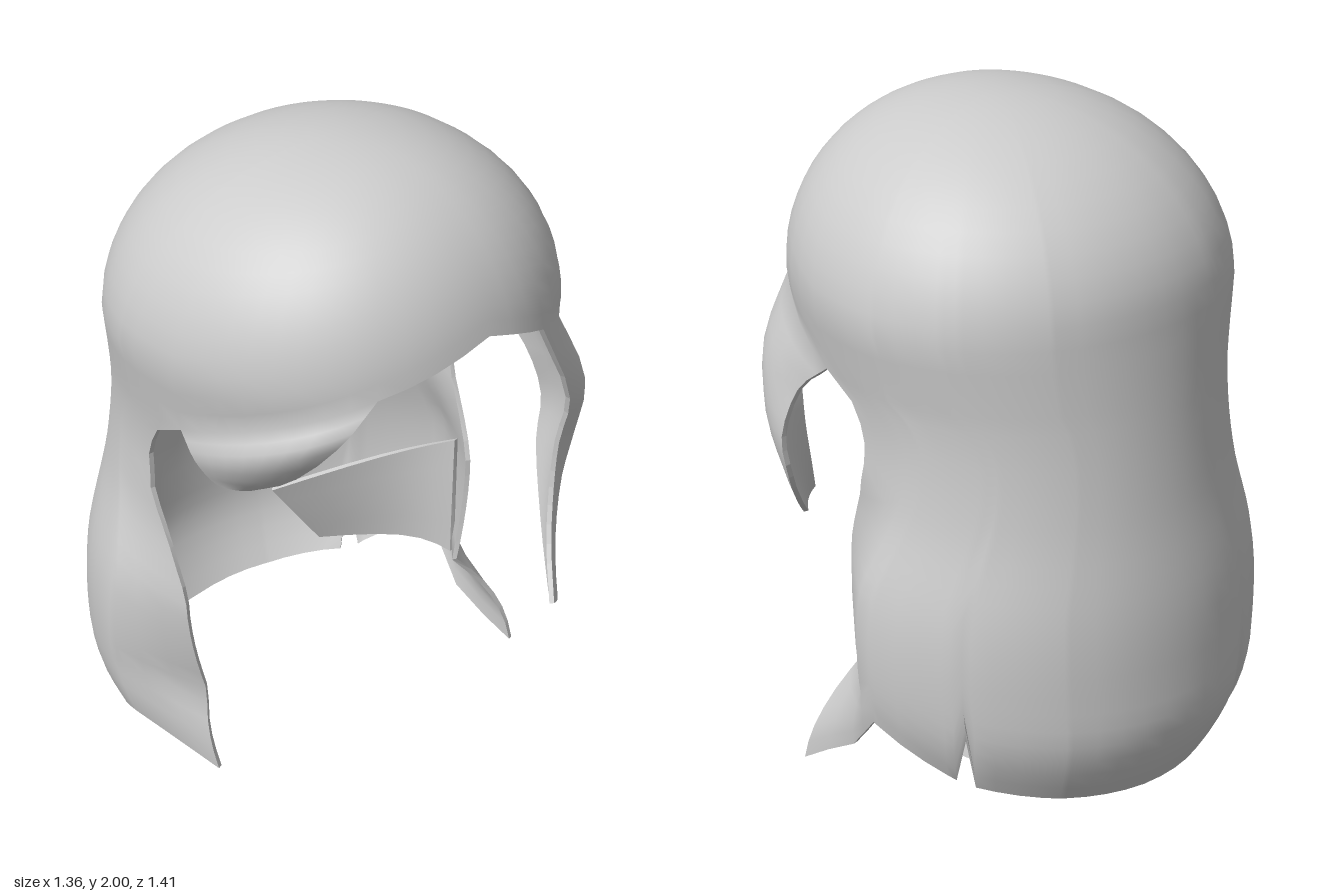
import * as THREE from 'three';

const V = (x, y, z) => new THREE.Vector3(x, y, z);
const lerp = THREE.MathUtils.lerp;

// Piecewise linear lookup in rows [key, value] sorted by rising key
function look(rows, k) {
  if (k <= rows[0][0]) return rows[0][1];
  for (let i = 1; i < rows.length; i++) {
    const a = rows[i - 1], b = rows[i];
    if (k <= b[0]) return lerp(a[1], b[1], (k - a[0]) / (b[0] - a[0]));
  }
  return rows[rows.length - 1][1];
}

// Height, half width, front reach, back reach of the hair below the dome
const DOME = 1.48, RISE = 0.52;
const BODY = [
  [0, 0.53, 0.64, 0.57], [0.12, 0.6, 0.64, 0.64], [0.28, 0.67, 0.64, 0.7], [0.45, 0.695, 0.64, 0.7],
  [0.66, 0.685, 0.64, 0.685], [0.95, 0.61, 0.64, 0.635], [1.2, 0.59, 0.66, 0.6], [DOME, 0.63, 0.7, 0.57],
];
const body = new THREE.CubicInterpolant(BODY.map((r) => r[0]), BODY.flatMap((r) => r.slice(1)), 3);

// Point on the hair volume: angle in degrees from the front towards +x, and height
function skin(deg, y) {
  let w, front, back, c = 0;
  if (y > DOME) {
    const s = Math.min(1, (y - DOME) / RISE), r = Math.sqrt(1 - s * s);
    w = 0.63 * Math.pow(r, 0.95);
    c = 0.1 * s;
    front = 0.1 + 0.6 * Math.pow(r, 0.78);
    back = 0.67 * r - 0.1;
  } else [w, front, back] = body.evaluate(y);
  const t = THREE.MathUtils.degToRad(deg), sn = Math.sin(t), cs = Math.cos(t);
  const pw = (v) => Math.sign(v) * Math.pow(Math.abs(v), cs > 0 ? 0.92 : 0.98);
  return V(w * pw(sn), y, c + pw(cs) * (cs > 0 ? front - c : back + c));
}

// Lower border of the cap, by angle
const NOTCH = 82, SPAN = 360 - 2 * NOTCH, LEFT = 20, RIGHT = -30;
const CAP_HEM = [[-NOTCH, 1.29], [RIGHT, 1.51], [0, 1.61], [LEFT, 1.53], [NOTCH, 1.29], [360 - NOTCH, 1.29]];

// Border of the back curtain: front edge angle by height, and hem height by angle
const EDGE = [[0, 75], [0.35, 82], [0.72, 82], [1.02, 94], [1.14, 95], [1.23, 91], [1.29, NOTCH]];
const TUCK_LEFT = [[0, 1.31], [0.35, 0.72], [0.72, 0.8], [1.0, 0.97], [1.29, 1]];
const TUCK_RIGHT = [[0.08, 0.94], [0.35, 0.77], [0.7, 0.88], [1.0, 0.98], [1.29, 1]];
const HEM = [
  [82, 0], [95, 0.13], [105, 0.3], [127, 0.15], [130, 0.33], [132, 0.13], [154, 0.09], [180, 0.06],
  [208, 0.05], [211, 0.25], [216, 0.06], [236, 0.1], [258, 0.22], [278, 0.1],
];

function curtainPoint(u, v) {
  const y = lerp(1.29, look(HEM, NOTCH + SPAN * u), v), e = look(EDGE, y);
  const p = skin(lerp(e, 360 - e, u), y);
  const near = Math.max(0, 1 - Math.min(u, 1 - u) / 0.1);
  p.x *= lerp(1, look(u < 0.5 ? TUCK_LEFT : TUCK_RIGHT, y), near);
  return p;
}

function capPoint(deg, v) {
  const h = look(CAP_HEM, deg), k = (h - DOME) / RISE;
  const a = lerp(Math.PI / 2, k > 0 ? Math.asin(k) : k, v);
  return skin(deg, DOME + RISE * (a > 0 ? Math.sin(a) : a));
}

// Lock hanging from the cap between two angles, bounded by two edge curves
function lockPoint(d0, d1, path0, path1) {
  const top = (u) => capPoint(lerp(d0, d1, u), 1);
  const c0 = new THREE.CatmullRomCurve3([top(0), ...path0]);
  const c1 = new THREE.CatmullRomCurve3([top(1), ...path1]);
  return (u, v) => {
    const fade = 0.12 + 0.44 * (1 + Math.cos(Math.PI * v));
    const bulge = top(u).sub(top(0).lerp(top(1), u)).multiplyScalar(fade);
    return c0.getPoint(v).lerp(c1.getPoint(v), u).add(bulge);
  };
}

// Inner layer behind the left edge of the curtain, overlapping the slit
function underlayerPoint(u, v) {
  const upper = V(0.54, 0.75, 0.04).lerp(V(0.24, 0.43, -0.5), u);
  const lower = V(0.54, 0.33, 0.04).lerp(V(0.41, 0.19, -0.46), u);
  const p = upper.lerp(lower, v);
  p.x += 0.08 * Math.sin(Math.PI * u);
  return p;
}

const steps = (a, b, n) => Array.from({ length: n + 1 }, (_, i) => lerp(a, b, i / n));

export function createModel() {
  const group = new THREE.Group();
  const mat = new THREE.MeshStandardMaterial({ color: 0xcccccc, side: THREE.DoubleSide });
  const pos = [], seen = new Map(), parts = {};

  // Vertices are shared between parts so the shading runs on across the joins
  const vertex = (p) => {
    const key = p.toArray().map((n) => Math.round(n * 1e4)).join();
    if (!seen.has(key)) {
      seen.set(key, pos.length / 3);
      pos.push(p.x, p.y, p.z);
    }
    return seen.get(key);
  };
  const sheet = (name, us, rows, f) => {
    const idx = (parts[name] = []);
    const g = us.map((u) => steps(0, 1, rows).map((v) => vertex(f(u, v))));
    const tri = (a, b, c) => { if (a !== b && b !== c && c !== a) idx.push(a, b, c); };
    for (let i = 0; i + 1 < us.length; i++) for (let r = 0; r < rows; r++) {
      tri(g[i][r], g[i][r + 1], g[i + 1][r + 1]);
      tri(g[i][r], g[i + 1][r + 1], g[i + 1][r]);
    }
  };

  const lockU = steps(0, 1, 8);
  const slitU = HEM.slice(1, -1).map((h) => (h[0] - NOTCH) / SPAN);
  const backU = [...steps(0, 1, 32).filter((u) => slitU.every((s) => Math.abs(s - u) > 0.006)), ...slitU]
    .sort((a, b) => a - b);
  const capAngles = [
    ...lockU.map((u) => lerp(-NOTCH, RIGHT, u)), ...steps(RIGHT, 0, 4).slice(1), ...steps(0, LEFT, 3).slice(1),
    ...lockU.slice(1).map((u) => lerp(LEFT, NOTCH, u)), ...backU.slice(1).map((u) => NOTCH + SPAN * u),
  ];

  sheet('hairCap', capAngles, 16, capPoint);
  sheet('backCurtain', backU, 22, curtainPoint);
  sheet('leftFrontLock', lockU, 15, lockPoint(LEFT, NOTCH,
    [V(0.38, 1.24, 0.64), V(0.4, 1.06, 0.59), V(0.4, 0.9, 0.58), V(0.36, 0.74, 0.62), V(0.3, 0.6, 0.7)],
    [V(0.6, 1.17, 0.26), V(0.63, 1.01, 0.31), V(0.6, 0.86, 0.33), V(0.49, 0.69, 0.47), V(0.38, 0.56, 0.62)]));
  sheet('rightFrontLock', lockU, 8, lockPoint(-NOTCH, RIGHT,
    [V(-0.6, 1.23, 0.17), V(-0.58, 1.18, 0.2), V(-0.56, 1.15, 0.22)],
    [V(-0.42, 1.4, 0.58), V(-0.47, 1.22, 0.42), V(-0.51, 1.15, 0.3)]));
  sheet('sideUnderlayer', steps(0, 1, 6), 4, underlayerPoint);

  // Outer skin with smooth normals, and an inner skin set in by the thickness
  const all = Object.values(parts).flat();
  const outer = new THREE.BufferGeometry();
  outer.setAttribute('position', new THREE.Float32BufferAttribute(pos, 3));
  outer.setIndex(all);
  outer.computeVertexNormals();
  const nor = Array.from(outer.attributes.normal.array);
  const inPos = pos.map((p, i) => p - nor[i] * 0.015);
  const count = pos.length / 3;
  for (const [name, idx] of Object.entries(parts)) {
    const geo = new THREE.BufferGeometry();
    geo.setAttribute('position', new THREE.Float32BufferAttribute(pos.concat(inPos), 3));
    geo.setAttribute('normal', new THREE.Float32BufferAttribute(nor.concat(nor.map((n) => -n)), 3));
    const inner = idx.map((_, i) => idx[i + 2 - 2 * (i % 3)] + count);
    geo.setIndex(idx.concat(inner));
    const mesh = new THREE.Mesh(geo, mat);
    mesh.name = name;
    group.add(mesh);
  }

  // Rim closing the gap between both skins along every open edge
  const edges = new Set();
  for (let i = 0; i < all.length; i += 3)
    for (let k = 0; k < 3; k++) edges.add(all[i + k] + '_' + all[i + ((k + 1) % 3)]);
  const rim = [];
  const at = (arr, i) => arr.slice(i * 3, i * 3 + 3);
  for (const e of edges) {
    const [a, b] = e.split('_').map(Number);
    if (edges.has(b + '_' + a)) continue;
    rim.push(...at(pos, b), ...at(pos, a), ...at(inPos, a), ...at(pos, b), ...at(inPos, a), ...at(inPos, b));
  }
  const rimGeo = new THREE.BufferGeometry();
  rimGeo.setAttribute('position', new THREE.Float32BufferAttribute(rim, 3));
  rimGeo.computeVertexNormals();
  const rimMesh = new THREE.Mesh(rimGeo, mat);
  rimMesh.name = 'hemEdge';
  group.add(rimMesh);
  return group;
}
